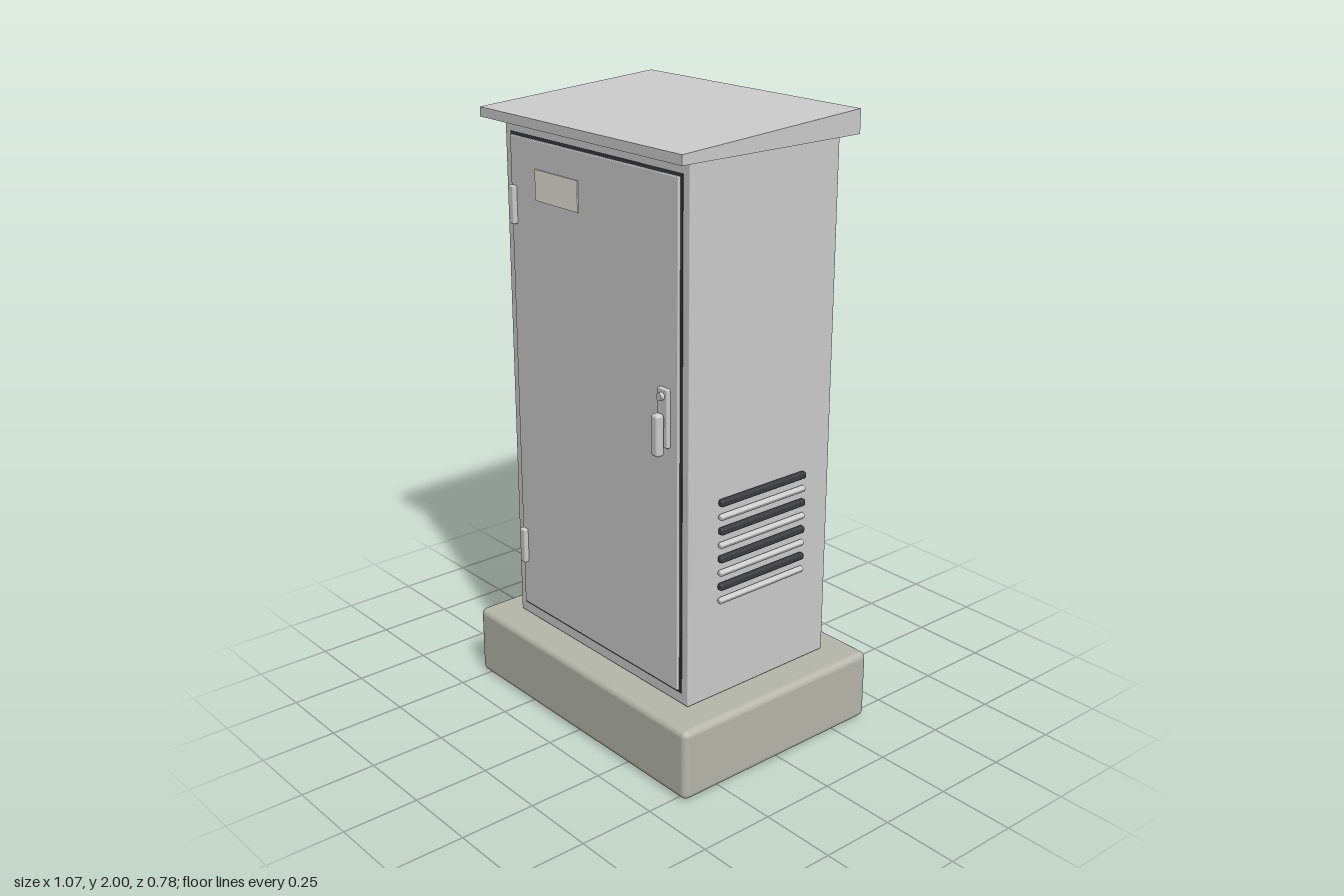
import * as THREE from 'three';
import { RoundedBoxGeometry } from 'three/addons/geometries/RoundedBoxGeometry.js';

const mat = (color) => new THREE.MeshStandardMaterial({ color });

export function createModel() {
  const model = new THREE.Group();
  const grey = mat(0xcccccc);
  const concrete = mat(0xb6b7aa);
  const dark = mat(0x3a3c3e);
  const cream = mat(0xe6e6da);

  const add = (name, geometry, material, x, y, z, parent = model) => {
    const mesh = new THREE.Mesh(geometry, material);
    mesh.name = name;
    mesh.position.set(x, y, z);
    parent.add(mesh);
    return mesh;
  };
  // Box given by its limits; a radius rounds the edges
  const block = (name, material, [x0, x1], [y0, y1], [z0, z1], radius = 0, parent = model) => {
    const size = [x1 - x0, y1 - y0, z1 - z0];
    const geometry = radius
      ? new RoundedBoxGeometry(...size, 3, radius)
      : new THREE.BoxGeometry(...size);
    return add(name, geometry, material, (x0 + x1) / 2, (y0 + y1) / 2, (z0 + z1) / 2, parent);
  };

  // Concrete base and cabinet shell, with narrow shadow gaps above and below
  block('base', concrete, [-0.537, 0.537], [0, 0.237], [-0.392, 0.392], 0.022);
  block('lowerGap', grey, [-0.42, 0.42], [0.23, 0.25], [-0.275, 0.28]);
  block('body', grey, [-0.431, 0.431], [0.243, 1.921], [-0.286, 0.29], 0.004);
  block('upperGap', grey, [-0.42, 0.42], [1.915, 1.935], [-0.275, 0.28]);

  // Roof: side profile (z, y), high at the back, extruded across the width
  const profile = new THREE.Shape([
    new THREE.Vector2(-0.326, 1.926),
    new THREE.Vector2(0.354, 1.926),
    new THREE.Vector2(0.354, 1.956),
    new THREE.Vector2(-0.326, 2.0),
  ]);
  const roofGeometry = new THREE.ExtrudeGeometry(profile, { depth: 0.944, bevelEnabled: false });
  roofGeometry.rotateY(-Math.PI / 2); // shape x -> z, depth -> -x
  add('roof', roofGeometry, grey, 0.472, 0, 0);

  // Door with dark seal
  block('doorSeal', dark, [-0.403, 0.403], [0.28, 1.885], [0.285, 0.2925]);
  block('door', grey, [-0.394, 0.394], [0.289, 1.876], [0.288, 0.301], 0.003);
  block('nameplate', cream, [-0.265, -0.055], [1.694, 1.79], [0.298, 0.305]);
  for (const y of [0.505, 1.662]) {
    block('hinge', grey, [-0.392, -0.366], [y - 0.06, y + 0.06], [0.295, 0.317], 0.004);
  }

  // Handle with lock
  const handle = new THREE.Group();
  handle.name = 'handle';
  model.add(handle);
  block('handlePlate', grey, [0.318, 0.362], [1.075, 1.256], [0.298, 0.314], 0.004, handle);
  block('handleGrip', grey, [0.324, 0.356], [1.052, 1.183], [0.316, 0.346], 0.01, handle);
  block('handlePivot', grey, [0.33, 0.35], [1.14, 1.17], [0.308, 0.322], 0, handle);
  const lockGeometry = new THREE.CylinderGeometry(0.012, 0.012, 0.02, 20).rotateX(Math.PI / 2);
  add('lock', lockGeometry, grey, 0.34, 1.233, 0.317, handle);

  // Side vents: dark slots alternating with tilted slats
  const slotGeometry = new RoundedBoxGeometry(0.02, 0.023, 0.35, 3, 0.007);
  const slatGeometry = new RoundedBoxGeometry(0.018, 0.018, 0.35, 3, 0.005);
  for (const side of [-1, 1]) {
    const vent = new THREE.Group();
    vent.name = side > 0 ? 'leftVent' : 'rightVent';
    model.add(vent);
    for (let i = 0; i < 4; i++) {
      const y = 0.617 + i * 0.0915;
      add('ventSlot', slotGeometry, dark, side * 0.442, y, 0.002, vent);
      const slat = add('ventSlat', slatGeometry, grey, side * 0.442, y - 0.046, 0.002, vent);
      slat.rotation.z = -side * 0.5;
    }
  }
  return model;
}
